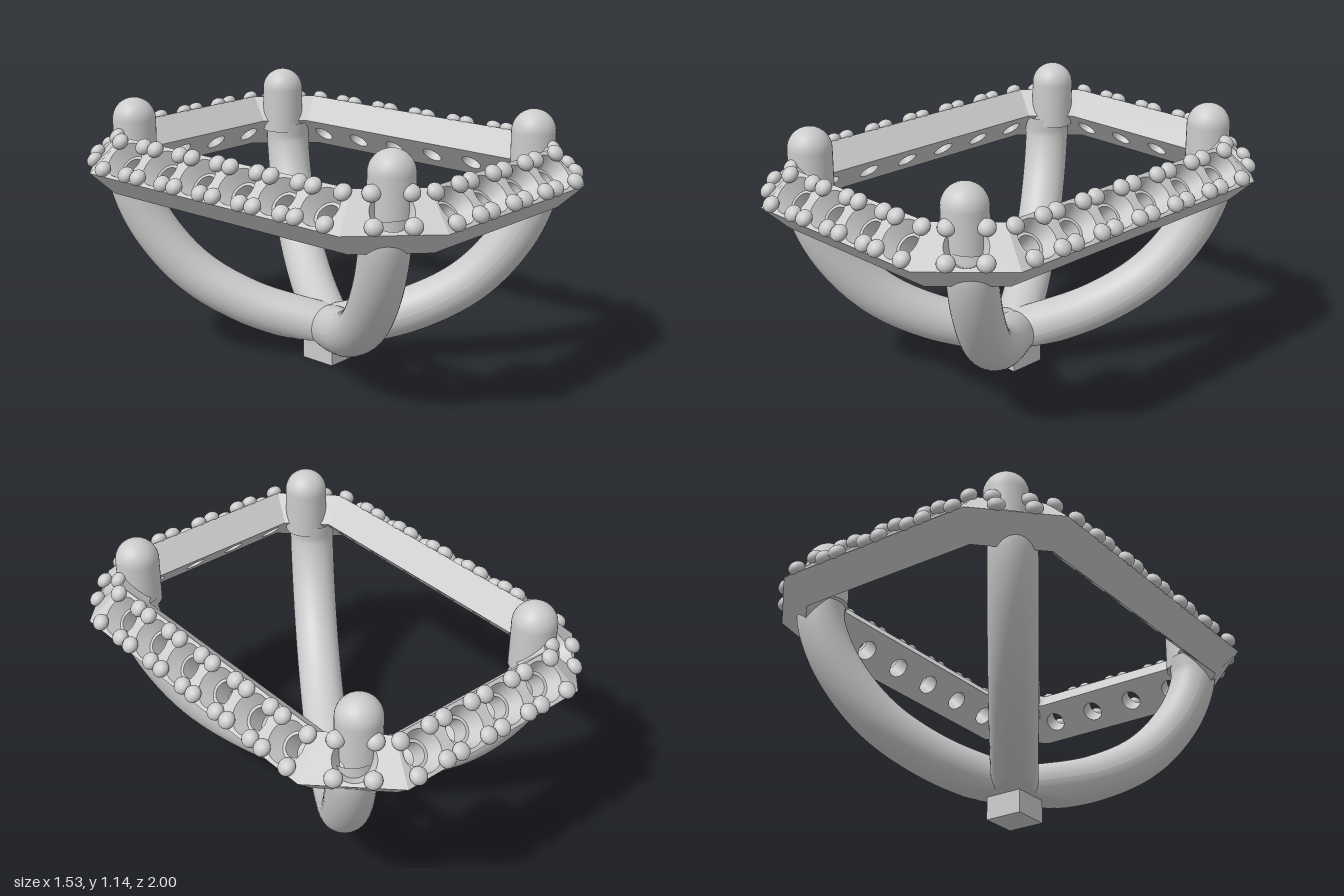
import * as THREE from 'three';

const grey = new THREE.MeshStandardMaterial({ color: 0xcccccc });
const greyDouble = new THREE.MeshStandardMaterial({ color: 0xcccccc, side: THREE.DoubleSide });

// Octagonal rim: half sizes, corner-cut line x + z = CUT, and a square-cornered
// cross-section leaning 45 degrees (half width of faces, depth between them)
const HALF_X = 0.742, HALF_Z = 0.977, CUT = 1.435;
const HALF_FACE = 0.07 * Math.SQRT2, DEPTH = 0.1 * Math.SQRT2, FACE_Y = 0.93;
const PITCH = 0.2175, BORE = 0.045, SEAT = 0.085, SEAT_FLOOR = 0.058, SEAT_DEPTH = 0.06;

function add(group, name, geometry, material = grey) {
  const mesh = new THREE.Mesh(geometry, material);
  mesh.name = name;
  group.add(mesh);
  return mesh;
}

// Trapezoid face pierced by a row of round holes
function piercedFace(bottomHalf, topHalf, holeXs, holeRadius) {
  const shape = new THREE.Shape([
    new THREE.Vector2(-bottomHalf, -HALF_FACE), new THREE.Vector2(bottomHalf, -HALF_FACE),
    new THREE.Vector2(topHalf, HALF_FACE), new THREE.Vector2(-topHalf, HALF_FACE),
  ]);
  for (const x of holeXs) {
    shape.holes.push(new THREE.Path().absarc(x, 0, holeRadius, 0, Math.PI * 2, true));
  }
  return new THREE.ShapeGeometry(shape, 16);
}

// Plain strip joining the outer face (z = 0) to the inner face (z = -DEPTH)
function strip(y, outerHalf, innerHalf) {
  const g = new THREE.BufferGeometry();
  g.setAttribute('position', new THREE.Float32BufferAttribute([
    -outerHalf, y, 0, outerHalf, y, 0, innerHalf, y, -DEPTH, -innerHalf, y, -DEPTH,
  ], 3));
  g.setIndex(y > 0 ? [0, 1, 2, 0, 2, 3] : [0, 2, 1, 0, 3, 2]);
  g.computeVertexNormals();
  return g;
}

// One mitred side of the rim with stone seats and beads; local z is the face normal
function rimSide(halfLength, seatCount) {
  const side = new THREE.Group();
  side.name = 'rimSide';
  const half = inset => halfLength - inset * Math.tan(Math.PI / 8);
  const xs = Array.from({ length: seatCount }, (_, i) => (i - (seatCount - 1) / 2) * PITCH);

  add(side, 'outerFace', piercedFace(half(0), half(0.14), xs, SEAT), greyDouble);
  add(side, 'innerFace', piercedFace(half(0.1), half(0.24), xs, BORE).rotateY(Math.PI)
    .translate(0, 0, -DEPTH), greyDouble);
  add(side, 'topBevel', strip(HALF_FACE, half(0.14), half(0.24)), greyDouble);
  add(side, 'lowerBevel', strip(-HALF_FACE, half(0), half(0.1)), greyDouble);

  const seat = new THREE.CylinderGeometry(SEAT, SEAT_FLOOR, SEAT_DEPTH, 32, 1, true)
    .rotateX(Math.PI / 2).translate(0, 0, -SEAT_DEPTH / 2);
  const ledge = new THREE.RingGeometry(BORE, SEAT_FLOOR, 32).translate(0, 0, -SEAT_DEPTH);
  const bore = new THREE.CylinderGeometry(BORE, BORE, DEPTH - SEAT_DEPTH, 32, 1, true)
    .rotateX(Math.PI / 2).translate(0, 0, -(DEPTH + SEAT_DEPTH) / 2);
  const bead = new THREE.SphereGeometry(0.036, 18, 12).scale(1, 1, 0.78);

  for (const x of xs) {
    add(side, 'seat', seat, greyDouble).position.x = x;
    add(side, 'seatLedge', ledge, greyDouble).position.x = x;
    add(side, 'seatBore', bore, greyDouble).position.x = x;
    for (const dx of [-0.073, 0.073]) {
      for (const dy of [-0.071, 0.071]) {
        add(side, 'bead', bead).position.set(x + dx, dy, 0.014);
      }
    }
  }
  return side;
}

// Places a side by its edge midpoint and its outward direction in plan
function placeSide(side, midX, midZ, outX, outZ) {
  const out = new THREE.Vector3(outX, 0, outZ).normalize();
  const up = new THREE.Vector3(0, 1, 0);
  const along = up.clone().cross(out);
  const slope = up.clone().sub(out).normalize();
  const normal = up.clone().add(out).normalize();
  side.quaternion.setFromRotationMatrix(new THREE.Matrix4().makeBasis(along, slope, normal));
  side.position.set(midX, FACE_Y, midZ).addScaledVector(out, -0.07);
  return side;
}

function buildRim() {
  const rim = new THREE.Group();
  rim.name = 'rim';
  const endX = CUT - HALF_Z, endZ = CUT - HALF_X;
  const cornerHalf = (HALF_X - endX) / Math.SQRT2;
  for (const sx of [-1, 1]) {
    rim.add(placeSide(rimSide(endZ, 6), sx * HALF_X, 0, sx, 0));
    rim.add(placeSide(rimSide(endX, 4), 0, sx * HALF_Z, 0, sx));
    for (const sz of [-1, 1]) {
      rim.add(placeSide(rimSide(cornerHalf, 1),
        sx * (HALF_X + endX) / 2, sz * (HALF_Z + endZ) / 2, sx, sz));
    }
  }
  return rim;
}

// Curved arm in the XY plane, trimmed flat at the centre and underneath
function armGeometry() {
  const path = new THREE.CatmullRomCurve3([
    [0, 0.138], [0.36, 0.24], [0.61, 0.385], [0.79, 0.6], [0.865, 0.79], [0.862, 0.89],
  ].map(([s, y]) => new THREE.Vector3(s, y, 0)));
  const g = new THREE.TubeGeometry(path, 64, 0.1, 40, false);
  const p = g.attributes.position;
  for (let i = 0; i < p.count; i++) {
    p.setX(i, Math.max(p.getX(i), 0));
    p.setY(i, Math.max(p.getY(i), 0.1));
  }
  g.computeVertexNormals();
  return g;
}

// Upright post with a domed top
function prongGeometry() {
  const r = 0.093, points = [new THREE.Vector2(0, 0.85), new THREE.Vector2(r, 0.85),
    new THREE.Vector2(r, 0.85)];
  for (let i = 0; i <= 12; i++) {
    const a = (i / 12) * Math.PI / 2;
    points.push(new THREE.Vector2(r * Math.cos(a), 1.048 + r * Math.sin(a)));
  }
  return new THREE.LatheGeometry(points, 36);
}

export function createModel() {
  const model = new THREE.Group();
  model.name = 'jewelSetting';
  model.add(buildRim());

  const arm = armGeometry(), prong = prongGeometry();
  const spread = Math.atan2(0.715, 0.5);
  for (const sx of [-1, 1]) {
    for (const sz of [-1, 1]) {
      const angle = Math.atan2(-sz * Math.sin(spread), sx * Math.cos(spread));
      add(model, 'arm', arm, greyDouble).rotation.y = angle;
      add(model, 'prong', prong).position.set(sx * 0.467, 0, sz * 0.714);
    }
  }

  // Square stub below the crossing arms
  add(model, 'baseStub', new THREE.BoxGeometry(0.166, 0.12, 0.166)).position.y = 0.06;
  return model;
}
